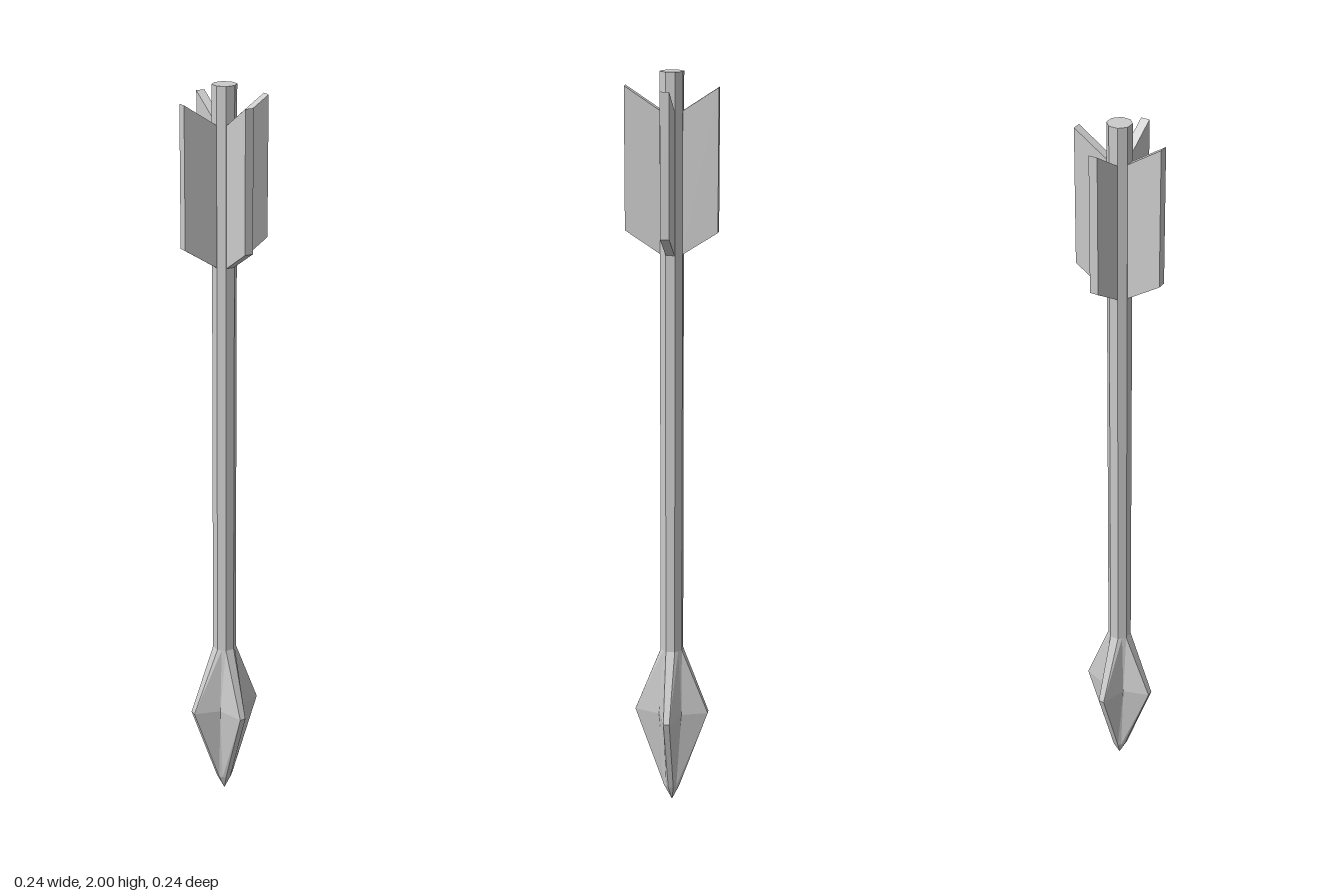
import * as THREE from 'three';

const material = new THREE.MeshStandardMaterial({ color: 0xcccccc, flatShading: true });

// One 12-point cross-section of the head: four blades (flat edge) with a valley between each pair
function headRing(y, reach, halfEdge, valley) {
  const ring = [];
  for (let q = 0; q < 4; q++) {
    const c = Math.round(Math.cos(q * Math.PI / 2)), s = Math.round(Math.sin(q * Math.PI / 2));
    for (const [u, v] of [[reach, -halfEdge], [reach, halfEdge], [valley, valley]]) {
      ring.push(new THREE.Vector3(u * c - v * s, y, u * s + v * c));
    }
  }
  return ring;
}

// Skin a stack of rings, listed from bottom to top
function loft(rings) {
  const points = [];
  for (let r = 0; r < rings.length - 1; r++) {
    const low = rings[r], high = rings[r + 1], n = low.length;
    for (let i = 0; i < n; i++) {
      const j = (i + 1) % n;
      points.push(low[j], high[i], high[j]);
      if (r > 0) points.push(low[i], high[i], low[j]); // the bottom ring is a point
    }
  }
  const geometry = new THREE.BufferGeometry().setFromPoints(points);
  geometry.computeVertexNormals();
  return geometry;
}

export function createModel() {
  const group = new THREE.Group();
  const add = (name, geometry) => {
    const mesh = new THREE.Mesh(geometry, material);
    mesh.name = name;
    group.add(mesh);
    return mesh;
  };

  // Octagonal shaft with flats facing the four axes
  const top = 2, neck = 0.455, flat = 0.029;
  const shaft = new THREE.CylinderGeometry(flat / Math.cos(Math.PI / 8), flat / Math.cos(Math.PI / 8), top - neck, 8);
  shaft.rotateY(Math.PI / 8);
  shaft.translate(0, (top + neck) / 2, 0);
  add('shaft', shaft);

  // Four-bladed head, pointing down
  add('arrowHead', loft([
    headRing(0, 0, 0, 0),
    headRing(0.045, 0.021, 0.007, 0.014),
    headRing(0.272, 0.1, 0.008, 0.031),
    headRing(neck, flat, 0.012, 0.0205),
  ]));

  // Four slanted fletching fins
  const thickness = 0.023;
  const profile = new THREE.Shape([
    [0.026, 1.54], [0.119, 1.6], [0.119, 1.963], [0.026, 1.902],
  ].map(([x, y]) => new THREE.Vector2(x, y)));
  const fin = new THREE.ExtrudeGeometry(profile, { depth: thickness, bevelEnabled: false });
  fin.translate(0, 0, -thickness / 2);
  ['left', 'back', 'right', 'front'].forEach((side, i) => {
    add(side + 'Fin', fin).rotation.y = i * Math.PI / 2;
  });

  return group;
}
